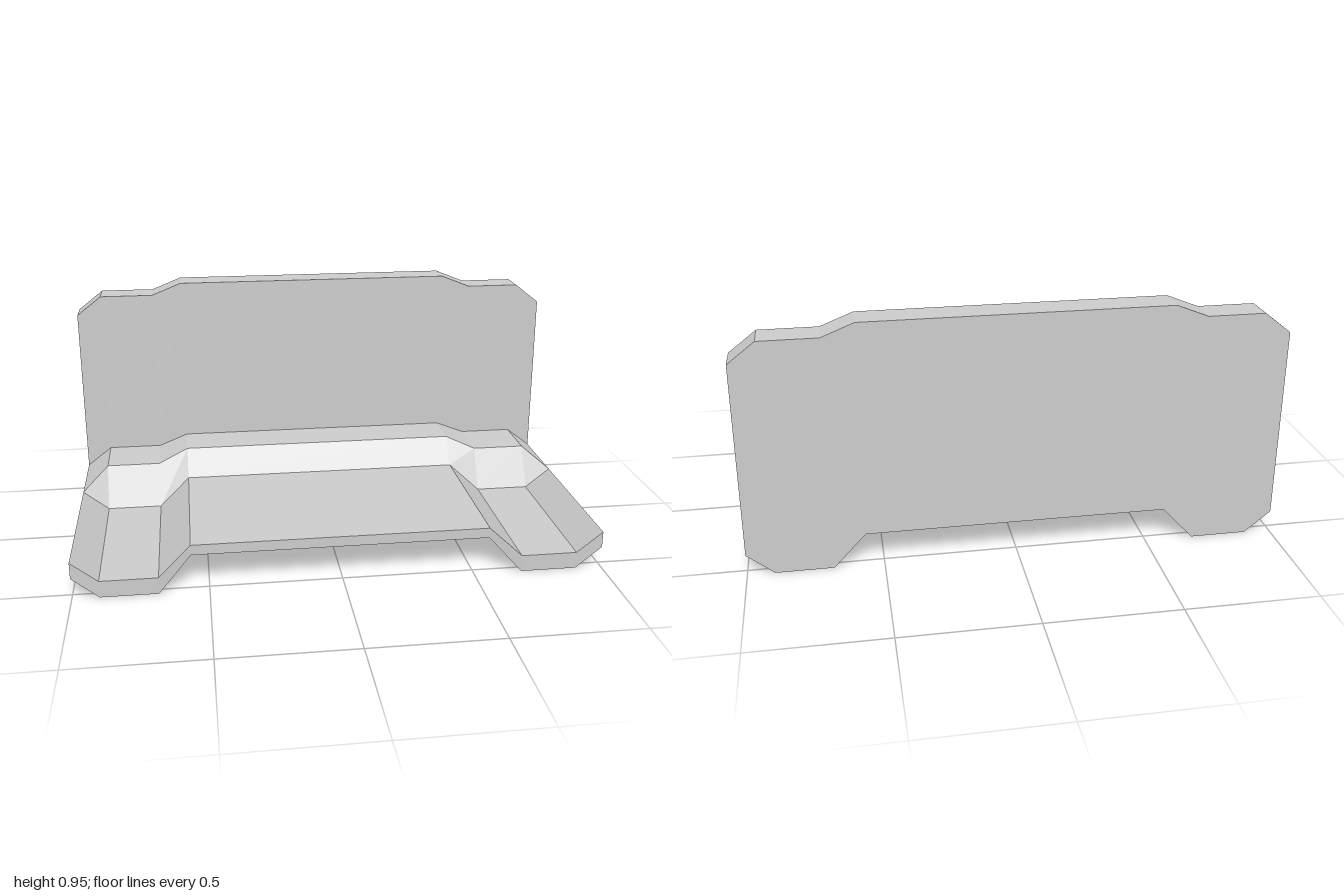
import * as THREE from 'three';

// Half of the cross-sections, from the centre panel out to the end:
// x, underside y, floor y, front z, ramp foot z, ramp top y, ramp top z, wall top y
const STATIONS = [
  [0.565, 0.13, 0.17, 0.495, -0.15, 0.27, -0.237, 0.948],
  [0.685, 0, 0.065, 0.533, -0.11, 0.222, -0.2, 0.9],
  [0.9, 0, 0.065, 0.533, -0.11, 0.222, -0.2, 0.9],
  [1, 0.082, 0.145, 0.533, -0.11, 0.145, -0.11, 0.822],
];
const WALL_FRONT = -0.415;
const BACK = -0.533;

// L-shaped outline of one section, starting at the lower front edge
function section([x, under, floor, front, footZ, stepY, stepZ, top], side) {
  return [
    [under, front], [floor, front], [floor, footZ], [stepY, stepZ],
    [stepY, WALL_FRONT], [top, WALL_FRONT], [top, BACK], [under, BACK],
  ].map(([y, z]) => new THREE.Vector3(side * x, y, z));
}

// Join neighbouring sections with quads and close both ends
function loft(rings) {
  const points = [];
  const quad = (a, b, c, d) => points.push(a, b, c, a, c, d);
  for (let i = 0; i < rings.length - 1; i++) {
    const p = rings[i], q = rings[i + 1];
    for (let j = 0; j < p.length; j++) {
      const k = (j + 1) % p.length;
      quad(p[j], q[j], q[k], p[k]);
    }
  }
  const first = rings[0], last = rings[rings.length - 1];
  for (const cap of [[0, 1, 4, 7], [4, 5, 6, 7]]) {
    quad(...cap.map((n) => first[n]));
    quad(...cap.map((n) => last[n]).reverse());
  }
  const geometry = new THREE.BufferGeometry().setFromPoints(points);
  geometry.computeVertexNormals();
  return geometry;
}

export function createModel() {
  const group = new THREE.Group();
  group.name = 'trayWithBackWall';

  // Floor, ramped step and back wall share one folded profile
  const rings = [
    ...[...STATIONS].reverse().map((s) => section(s, -1)),
    ...STATIONS.map((s) => section(s, 1)),
  ];
  const body = new THREE.Mesh(
    loft(rings),
    new THREE.MeshStandardMaterial({ color: 0xcccccc, flatShading: true }),
  );
  body.name = 'floorAndBackWall';
  group.add(body);
  return group;
}
